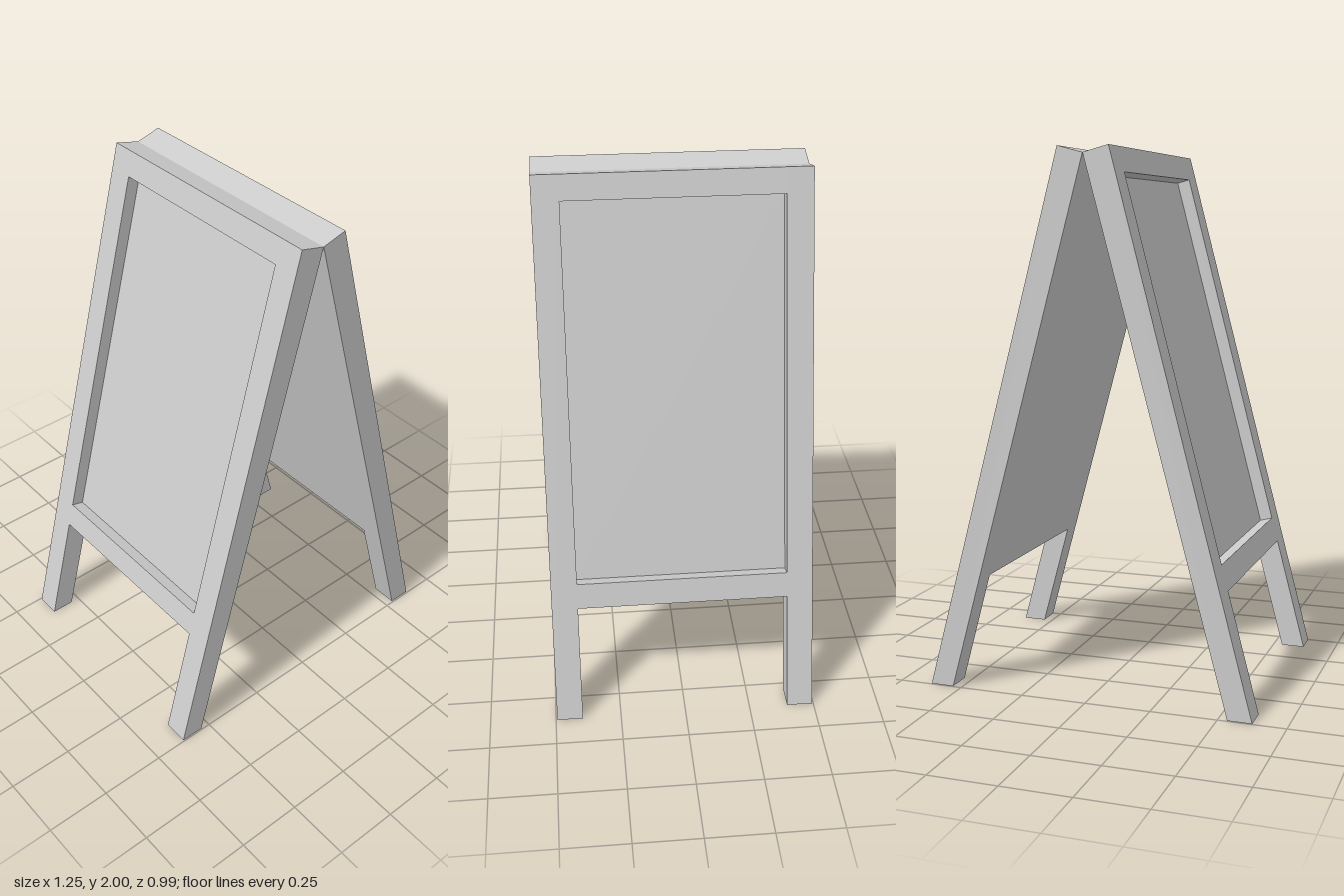
import * as THREE from 'three';

const HALF_DEPTH = 0.495, INNER = 0.397;

// Points on the sloping outer and inner faces of one leaf at height y
const outer = (y) => [0.625 - 0.265 * y, y];
const inner = (y) => [0.535 * (1 - y / 1.975), y];
// Point sunk below the outer face, square to it
const sunk = (y) => [outer(y)[0] - 0.048, y - 0.013];

// Extrudes an x-y side section from z0 to z1
function section(points, z0, z1) {
  const shape = new THREE.Shape(points.map(([x, y]) => new THREE.Vector2(x, y)));
  const geo = new THREE.ExtrudeGeometry(shape, { depth: z1 - z0, bevelEnabled: false });
  return geo.translate(0, 0, z0);
}

export function createModel() {
  const model = new THREE.Group();
  model.name = 'sandwichBoard';
  const grey = new THREE.MeshStandardMaterial({ color: 0xcccccc });
  grey.name = 'light grey';

  // Leg running from floor to ridge
  const legPoints = [inner(0), outer(0), outer(2), inner(1.975)];
  // Top rail, recessed panel and bottom rail in one section
  const boardPoints = [
    inner(0.418), outer(0.441), outer(0.535), sunk(0.535),
    sunk(1.91), outer(1.91), outer(2), inner(1.975),
  ];
  const parts = [
    ['frontLeg', section(legPoints, INNER, HALF_DEPTH)],
    ['backLeg', section(legPoints, -HALF_DEPTH, -INNER)],
    ['boardWithRails', section(boardPoints, -INNER, INNER)],
  ];

  // Two matching leaves, the second turned half round
  ['leftLeaf', 'rightLeaf'].forEach((name, i) => {
    const leaf = new THREE.Group();
    leaf.name = name;
    for (const [partName, geo] of parts) {
      const mesh = new THREE.Mesh(geo, grey);
      mesh.name = partName;
      leaf.add(mesh);
    }
    leaf.rotation.y = i * Math.PI;
    model.add(leaf);
  });
  return model;
}
